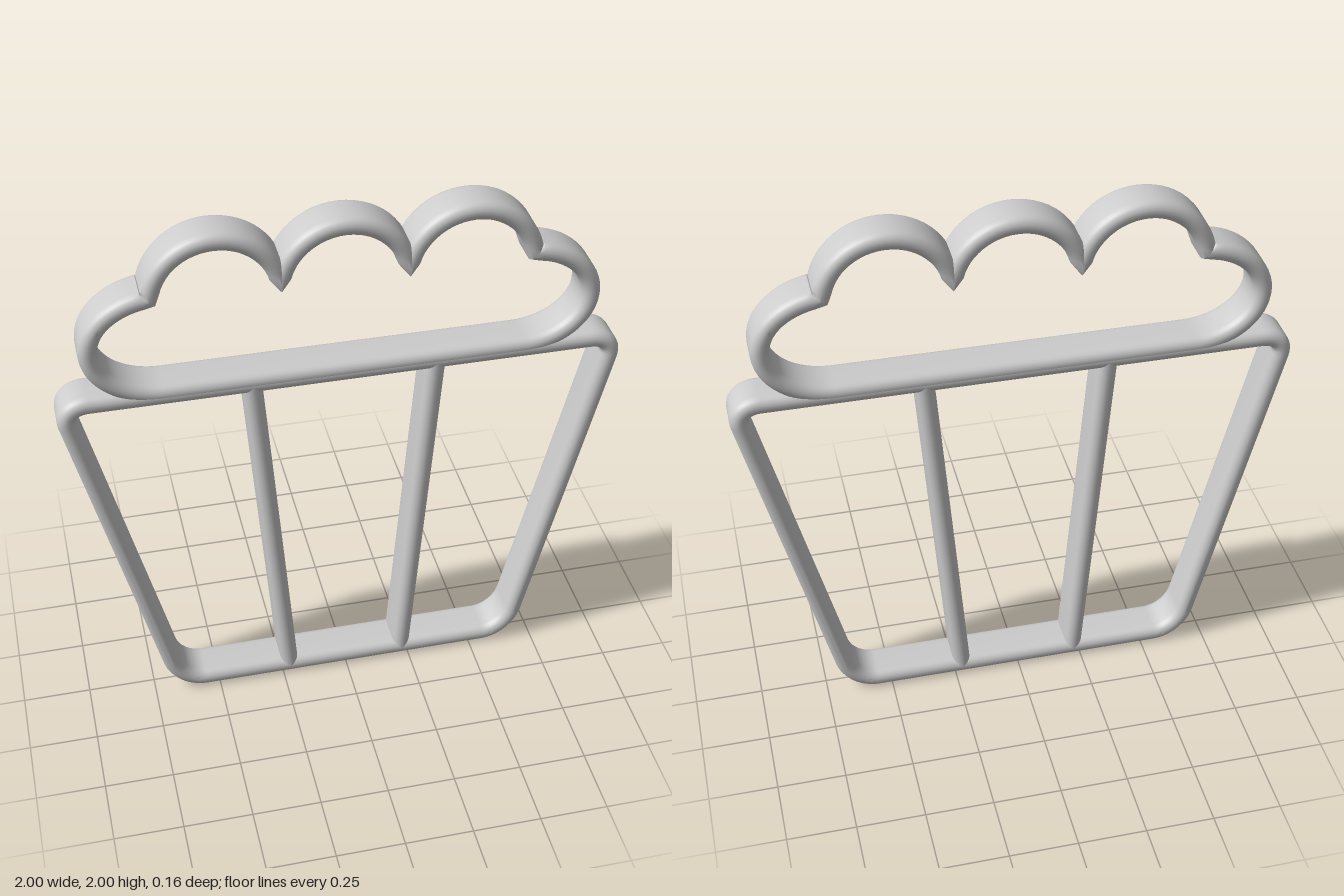
import * as THREE from 'three';
import { toCreasedNormals } from 'three/addons/utils/BufferGeometryUtils.js';

const HALF_WIDTH = 0.033, HALF_DEPTH = 0.082;
const material = new THREE.MeshStandardMaterial({ color: 0xcccccc, side: THREE.DoubleSide });

// Stadium cross-section: flat walls with half-round front and back edges
function stadium(steps = 10) {
  const pts = [];
  for (const side of [1, -1]) {
    for (let i = 0; i <= steps; i++) {
      const a = (i / steps) * Math.PI + (side > 0 ? 0 : Math.PI);
      pts.push([Math.cos(a) * HALF_WIDTH, side * (HALF_DEPTH - HALF_WIDTH) + Math.sin(a) * HALF_WIDTH]);
    }
  }
  return pts;
}

// Sweep the cross-section along a flat path in the XY plane
function sweep(name, path, closed) {
  const section = stadium(), m = section.length, n = path.length;
  const pos = [], index = [];
  const dir = (a, b) => b.clone().sub(a).normalize();
  path.forEach((p, i) => {
    const t = new THREE.Vector2();
    if (closed || i > 0) t.add(dir(path[(i + n - 1) % n], p));
    if (closed || i < n - 1) t.add(dir(p, path[(i + 1) % n]));
    t.normalize();
    for (const [u, w] of section) pos.push(p.x + t.y * u, p.y - t.x * u, w);
  });
  for (let i = 0; i < (closed ? n : n - 1); i++) {
    for (let j = 0; j < m; j++) {
      const k = ((i + 1) % n) * m, l = (j + 1) % m;
      const a = i * m + j, b = k + j, c = k + l, d = i * m + l;
      index.push(a, b, c, a, c, d);
    }
  }
  const geo = new THREE.BufferGeometry();
  geo.setAttribute('position', new THREE.Float32BufferAttribute(pos, 3));
  geo.setIndex(index);
  const mesh = new THREE.Mesh(toCreasedNormals(geo, 0.6), material);
  mesh.name = name;
  return mesh;
}

// Points on an elliptical arc, angles in degrees
function arc(cx, cy, rx, ry, from, to, steps) {
  return Array.from({ length: steps + 1 }, (_, i) => {
    const a = THREE.MathUtils.degToRad(from + ((to - from) * i) / steps);
    return new THREE.Vector2(cx + rx * Math.cos(a), cy + ry * Math.sin(a));
  });
}

// Rounded corner from a to b, bending around the sharp corner c
function corner(a, c, b) {
  const v = (p) => new THREE.Vector2(...p);
  const [A, B, C] = [v(a), v(b), v(c)];
  return new THREE.CubicBezierCurve(A, A.clone().lerp(C, 0.58), B.clone().lerp(C, 0.58), B).getPoints(14);
}

const mirror = (pts) => pts.map((p) => new THREE.Vector2(-p.x, p.y)).reverse();

export function createModel() {
  const group = new THREE.Group();
  group.name = 'cupcakeCutter';

  // Tapered cup outline with four rounded corners
  const cupRight = [
    ...corner([0.55, 0.034], [0.652, 0.034], [0.68, 0.145]),
    ...corner([0.966, 1.31], [0.985, 1.389], [0.89, 1.389]),
  ];
  group.add(sweep('cupOutline', [...cupRight, ...mirror(cupRight)], true));

  // Frosting outline: two side lobes and three top scallops meeting in cusps
  const lobe = arc(0.63, 1.59, 0.245, 0.19, -90, 83, 30);
  const frosting = [...lobe];
  for (const x of [0.44, 0, -0.44]) {
    frosting.push(...arc(x, 1.745, 0.222, 0.222, 8.5, 171.5, 26).slice(1));
  }
  frosting.push(...mirror(lobe).slice(1));
  group.add(sweep('frostingOutline', frosting, true));

  // Two slanted pleat bars inside the cup
  for (const s of [1, -1]) {
    const bar = [new THREE.Vector2(s * 0.222, 0.036), new THREE.Vector2(s * 0.326, 1.387)];
    group.add(sweep(s > 0 ? 'leftPleat' : 'rightPleat', bar, false));
  }
  return group;
}
